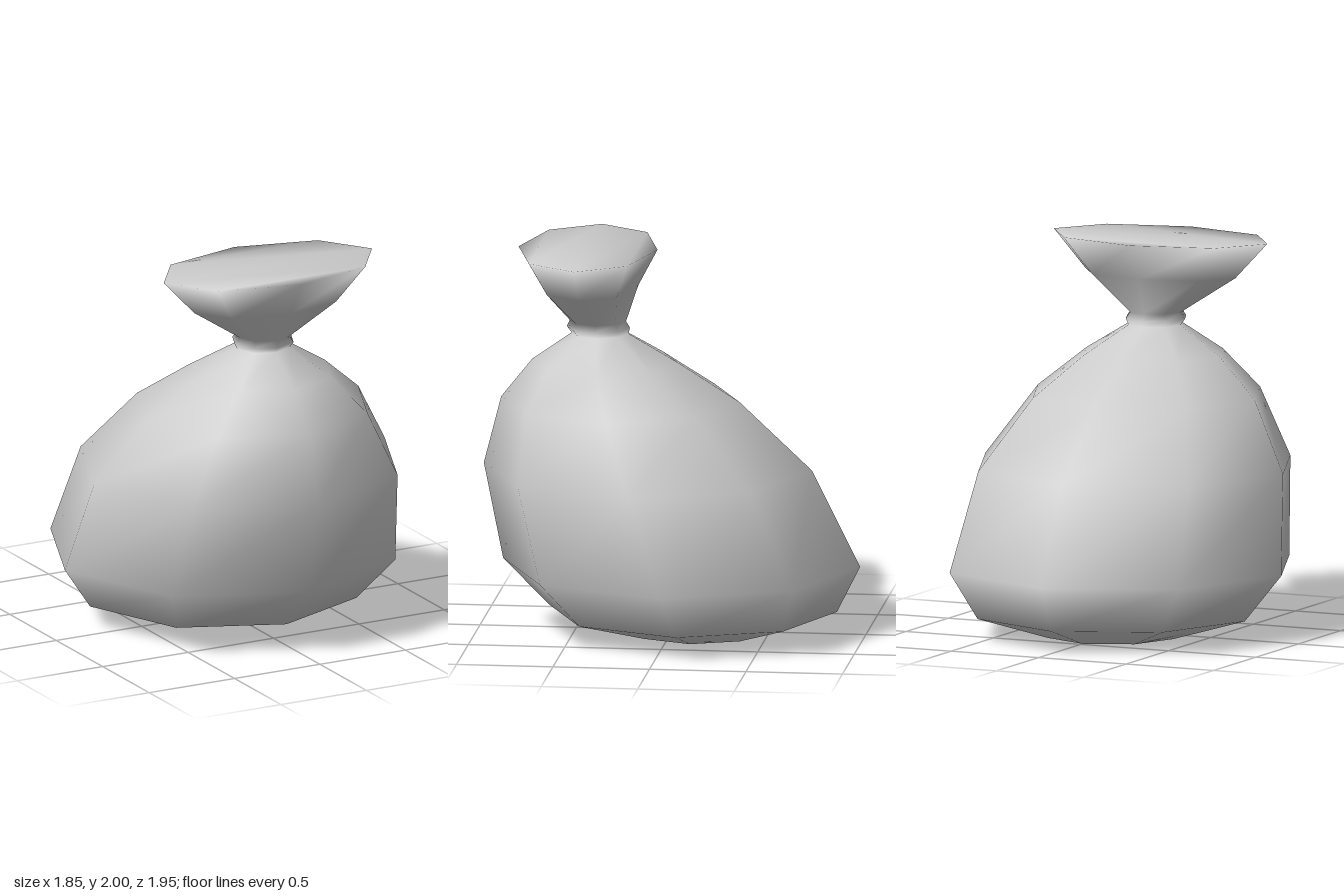
import * as THREE from 'three';

const SIDES = 8;

// Cross-sections from the base to the gathered top: [y, half width x, front z, back z]
const RINGS = [
  [0.005, 0.35, 0.22, -0.48],
  [0.12, 0.745, 0.64, -0.85],
  [0.36, 0.925, 0.88, -0.97],
  [0.86, 0.85, 0.98, -0.72],
  [1.21, 0.62, 0.89, -0.345],
  [1.41, 0.38, 0.73, -0.025],
  [1.555, 0.145, 0.525, 0.23],
  [1.587, 0.165, 0.55, 0.223],
  [1.62, 0.14, 0.535, 0.243],
  [1.81, 0.43, 0.69, 0.18],
  [2.0, 0.61, 0.8, 0.08],
];

function sackGeometry() {
  const positions = [];
  const index = [];

  for (const [y, halfX, front, back] of RINGS) {
    for (let i = 0; i < SIDES; i++) {
      const a = (i / SIDES) * Math.PI * 2;
      positions.push(
        Math.sin(a) * halfX,
        y,
        (front + back) / 2 + (Math.cos(a) * (front - back)) / 2
      );
    }
  }

  // Skin between neighbouring rings
  for (let j = 0; j < RINGS.length - 1; j++) {
    for (let i = 0; i < SIDES; i++) {
      const a = j * SIDES + i;
      const b = j * SIDES + ((i + 1) % SIDES);
      index.push(a, b, b + SIDES, a, b + SIDES, a + SIDES);
    }
  }

  // Flat caps in strips across the ring; they share the skin's vertices so shading stays smooth
  const cap = (start, up) => {
    const tri = (a, b, c) =>
      up ? index.push(start + a, start + b, start + c) : index.push(start + a, start + c, start + b);
    for (let i = 0; i < SIDES / 2; i++) {
      const left = SIDES - i;
      if (i < SIDES / 2 - 1) tri(i, i + 1, left - 1);
      if (i > 0) tri(i, left - 1, left);
    }
  };
  cap(0, false);
  cap((RINGS.length - 1) * SIDES, true);

  const geometry = new THREE.BufferGeometry();
  geometry.setAttribute('position', new THREE.Float32BufferAttribute(positions, 3));
  geometry.setIndex(index);
  geometry.computeVertexNormals();
  return geometry;
}

export function createModel() {
  const group = new THREE.Group();
  group.name = 'tiedSack';

  const sack = new THREE.Mesh(
    sackGeometry(),
    new THREE.MeshStandardMaterial({ color: 0xcccccc })
  );
  sack.name = 'sack';
  group.add(sack);

  return group;
}
